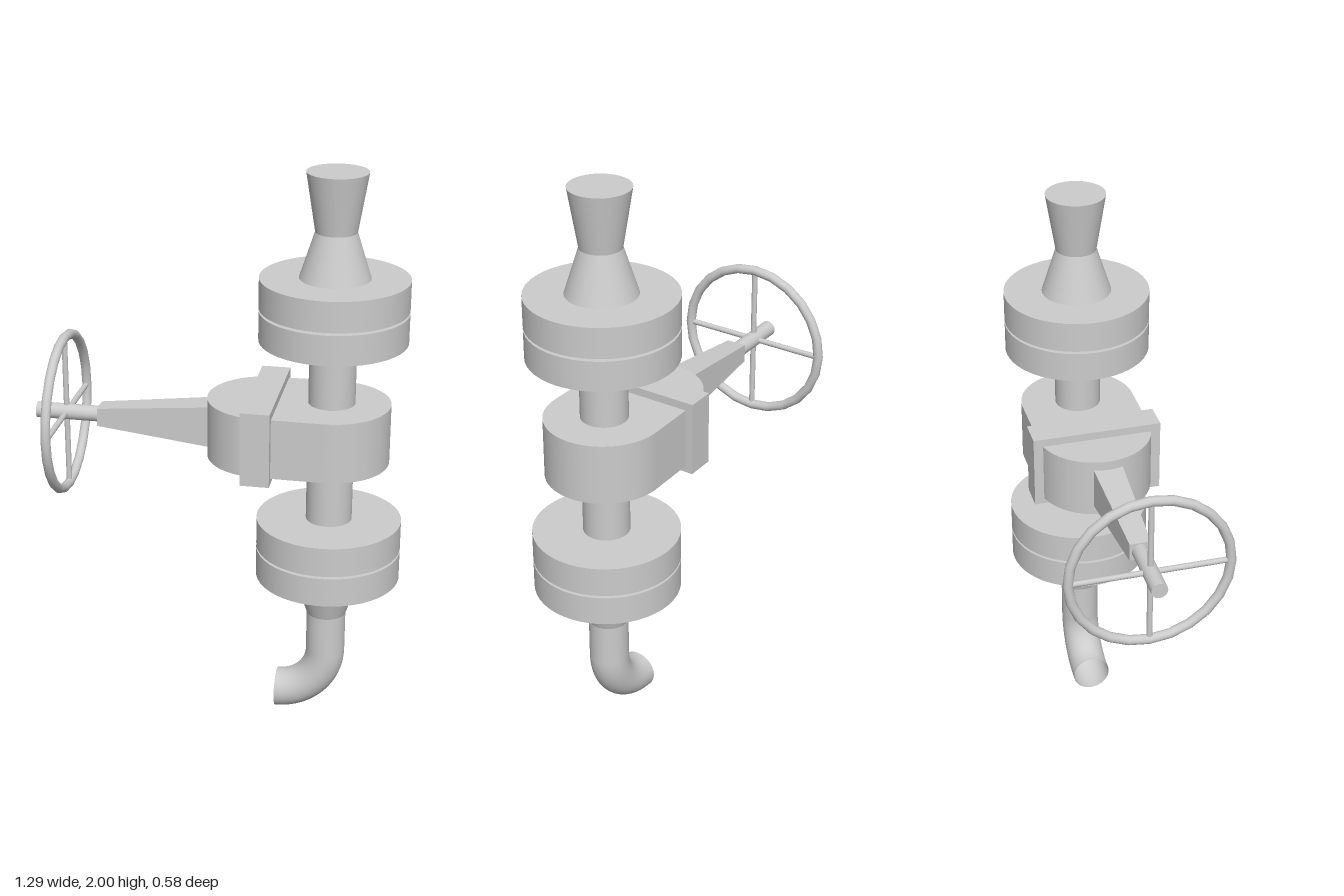
import * as THREE from 'three';

const PIPE_X = 0.39; // axis of the vertical pipe run
const STEM_Y = 1.097; // axis of the stem and handwheel

export function createModel() {
  const model = new THREE.Group();
  model.name = 'gateValve';
  const grey = new THREE.MeshStandardMaterial({ color: 0xcccccc });
  const flat = new THREE.MeshStandardMaterial({ color: 0xcccccc, flatShading: true });
  const open = new THREE.MeshStandardMaterial({ color: 0xcccccc, side: THREE.DoubleSide });

  const add = (name, geometry, material = grey, parent = model) => {
    const mesh = new THREE.Mesh(geometry, material);
    mesh.name = name;
    parent.add(mesh);
    return mesh;
  };
  // Round section on the pipe axis, from y0 to y1
  const pipe = (name, y0, y1, r0, r1 = r0, openEnded = false) => {
    const geometry = new THREE.CylinderGeometry(r1, r0, y1 - y0, 48, 1, openEnded);
    add(name, geometry, openEnded ? open : grey).position.set(PIPE_X, (y0 + y1) / 2, 0);
  };

  // Upper nozzle and reducer
  pipe('upperNozzle', 1.8, 2, 0.07, 0.103);
  pipe('upperReducer', 1.643, 1.8, 0.12, 0.07);

  // Flange pairs with a narrow gasket between them
  for (const [name, y] of [['upper', 1.425], ['lower', 0.552]]) {
    pipe(name + 'FlangeBottom', y, y + 0.104, 0.252);
    pipe(name + 'Gasket', y + 0.1, y + 0.118, 0.07);
    pipe(name + 'FlangeTop', y + 0.113, y + 0.218, 0.252);
  }

  // Necks above and below the valve body
  pipe('upperNeck', 1.2, 1.425, 0.08);
  pipe('lowerNeck', 0.77, 0.99, 0.08);

  // Lower reducer, pipe and open quarter bend
  pipe('lowerReducer', 0.4, 0.552, 0.07, 0.12, true);
  pipe('lowerPipe', 0.247, 0.4, 0.069, 0.069, true);
  class QuarterBend extends THREE.Curve {
    getPoint(t, target = new THREE.Vector3()) {
      const a = t * Math.PI / 2;
      return target.set(0.215 + 0.175 * Math.cos(a), 0.247 - 0.177 * Math.sin(a), 0);
    }
  }
  add('elbow', new THREE.TubeGeometry(new QuarterBend(), 20, 0.069, 40), open);

  // Valve body: a block with two rounded ends
  const outline = new THREE.Shape();
  outline.absarc(PIPE_X, 0, 0.202, -Math.PI / 2, Math.PI / 2);
  outline.absarc(0.163, 0, 0.2, Math.PI / 2, Math.PI * 1.5);
  const body = new THREE.ExtrudeGeometry(outline, { depth: 0.212, bevelEnabled: false, curveSegments: 32 });
  body.rotateX(-Math.PI / 2);
  add('valveBody', body).position.y = 0.99;

  // Rectangular bonnet flange around the body
  add('bonnetFlange', new THREE.BoxGeometry(0.1, 0.262, 0.454)).position.set(0.163, 1.099, 0);

  // Square tapered yoke, narrowing towards the handwheel
  const yoke = new THREE.BoxGeometry(0.43, 1, 1);
  const p = yoke.attributes.position;
  for (let i = 0; i < p.count; i++) {
    const wide = p.getX(i) > 0;
    p.setY(i, p.getY(i) * (wide ? 0.153 : 0.064));
    p.setZ(i, p.getZ(i) * (wide ? 0.105 : 0.072));
  }
  yoke.computeVertexNormals();
  add('yoke', yoke, flat).position.set(-0.21, STEM_Y, 0);

  // Stem
  const stem = new THREE.CylinderGeometry(0.028, 0.028, 0.248, 24);
  stem.rotateZ(Math.PI / 2);
  add('stem', stem).position.set(-0.524, STEM_Y, 0);

  // Handwheel with crossed spokes
  const wheel = new THREE.Group();
  wheel.name = 'handwheel';
  wheel.position.set(-0.543, STEM_Y, 0);
  model.add(wheel);
  const rim = new THREE.TorusGeometry(0.273, 0.017, 12, 24);
  rim.rotateY(Math.PI / 2);
  add('rim', rim, grey, wheel);
  for (let i = 0; i < 2; i++) {
    const spoke = add('spoke', new THREE.CylinderGeometry(0.01, 0.01, 0.546, 12), grey, wheel);
    spoke.rotation.x = i * Math.PI / 2;
  }
  return model;
}
